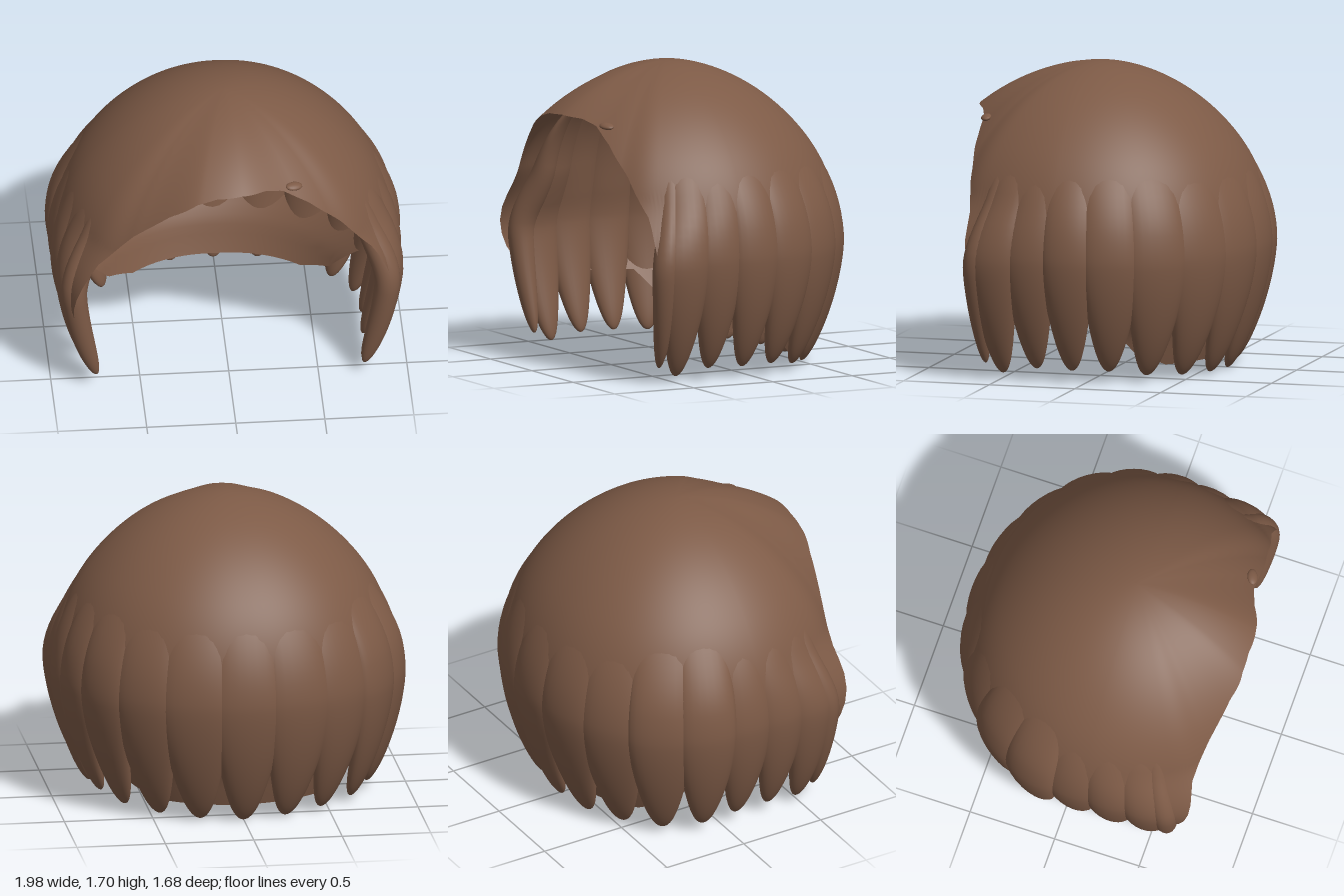
import * as THREE from 'three';
import { ParametricGeometry } from 'three/addons/geometries/ParametricGeometry.js';

const TOP = 1.71, WIDEST = 0.7, CROWN_Z = 0.15;
const rad = THREE.MathUtils.degToRad;
const smooth = THREE.MathUtils.smoothstep;

// Relative radius of the hair at a height: dome above, tucked in below
function girth(y) {
  if (y > WIDEST) {
    const k = Math.min(1, (y - WIDEST) / (TOP - WIDEST));
    return Math.pow(1 - Math.pow(k, 1.84), 1 / 1.84);
  }
  return 1 - 0.17 * Math.pow((WIDEST - y) / WIDEST, 1.6);
}

// Point on the outer form; azimuth 0 is the front, 90 degrees is +x
function form(a, y, inset = 0) {
  const s = Math.sin(a), c = Math.cos(a), front = c > 0;
  const upper = smooth(y, 0.6, 1.05);
  const n = front ? 2.8 - 0.95 * upper : 2.1;
  const r = Math.pow(Math.pow(Math.abs(s) / 0.985, n) + Math.pow(Math.abs(c) / (front ? 1.1 : 0.985), n), -1 / n);
  const f = girth(y);
  const fz = front && y < WIDEST ? 0.3 * f + 0.7 : f;
  // The fringe is swept back at the temples, sooner on the left
  const side = Math.abs(s);
  const back = 0.1 * smooth(side, s > 0 ? 0.05 : 0.25, s > 0 ? 0.5 : 0.6) - 0.07 * smooth(side, 0.65, 0.85);
  const sweep = front ? 1 - upper * back : 1;
  return new THREE.Vector3(s * (r * f - inset), y, CROWN_Z + c * (r * fz * sweep - inset));
}

// Height of the cap's rim by degrees from the front: face arch, sides, nape
const RIM = [[0, 1.45], [12, 1.44], [20, 1.41], [30, 1.32], [42, 1.16], [54, 0.94], [60, 0.6],
  [64, 0.42], [105, 0.4], [122, 0.16], [138, 0.08], [190, 0.07]];
function rim(deg) {
  const d = Math.abs(deg - 4 * Math.max(0, Math.cos(rad(deg))));
  const i = RIM.findIndex((p, k) => k > 0 && d <= p[0]);
  const [d0, y0] = RIM[i - 1], [d1, y1] = RIM[i];
  return y0 + (y1 - y0) * (d - d0) / (d1 - d0);
}

// Thin cap that slips behind the locks lower down
function capGeometry() {
  return new ParametricGeometry((u, v, out) => {
    const deg = 180 - 360 * u;
    const t = Math.max(v, 0.001);
    const y = TOP - (TOP - rim(deg)) * t * t;
    const inset = 0.035 * (1 - smooth(y, 0.5, 1.3)) + 0.125 * (1 - smooth(y, 0.22, 0.6));
    out.copy(form(rad(deg), y, inset));
  }, 240, 60);
}

// Flattened, tapering lock that rises gradually out of the cap
function lockGeometry(deg, halfDeg, tipY, lift) {
  const a = rad(deg), e = 0.002, topY = 1.5;
  return new ParametricGeometry((u, v, out) => {
    const s = THREE.MathUtils.clamp(1 - (1 - v) * (1 - v), 0.001, 0.9995);
    const y = topY + (tipY - topY) * s;
    const c = form(a, y);
    const across = form(a + e, y).sub(form(a - e, y)).normalize();
    const down = form(a, y - e).sub(form(a, y + e)).normalize();
    const outward = down.clone().cross(across).normalize();
    const taper = Math.sqrt(1 - Math.pow(s, 5));
    const grow = 1 - smooth(y, 0.85, 1.5);
    // Neighbours overlap higher up and part towards the tips
    const overlap = 1.12 + 0.2 * smooth(y, 0.1, 0.7);
    const width = rad(halfDeg) * overlap * Math.hypot(c.x, c.z - CROWN_Z) * taper * smooth(s, -0.1, 0.2);
    const thick = 0.075 * (0.15 + 0.85 * grow) * taper * smooth(s, -0.1, 0.1);
    const depth = 0.025 + 0.047 * grow - lift * grow * grow;
    out.copy(c).addScaledVector(outward, -depth)
      .addScaledVector(across, width * Math.cos(u * Math.PI * 2))
      .addScaledVector(outward, thick * Math.sin(u * Math.PI * 2));
  }, 24, 44);
}

export function createModel() {
  const group = new THREE.Group();
  const hair = new THREE.MeshStandardMaterial({ color: 0x7d5a46, side: THREE.DoubleSide });
  hair.name = 'brown hair';
  const add = (name, geometry) => {
    const mesh = new THREE.Mesh(geometry, hair);
    mesh.name = name;
    group.add(mesh);
    return mesh;
  };

  add('cap', capGeometry());

  // Locks: azimuth, half width, tip height, lift on the left, lift on the right
  const locks = [[63.5, 3.4, 0.07, 0.005, 0], [69.5, 6.3, 0.02, 0.012, 0], [81.5, 6.7, 0.05, 0, 0],
    [95, 7, 0.05, 0.01, 0], [110, 7.6, 0.05, 0.012, 0.035], [126, 8.2, 0.02, 0.01, 0.025],
    [143.5, 8.8, 0, 0, 0], [161.5, 9.2, -0.01, 0, 0]];
  for (const side of [1, -1]) {
    locks.forEach(([deg, half, tip, liftLeft, liftRight]) => {
      add(side > 0 ? 'leftLock' : 'rightLock',
        lockGeometry(side * deg, half, tip, side > 0 ? liftLeft : liftRight));
    });
  }
  add('backLock', lockGeometry(180, 9.3, -0.02, 0));

  // Small stray wisp at the fringe
  const wisp = add('fringeWisp', new THREE.SphereGeometry(1, 16, 10));
  wisp.scale.set(0.05, 0.016, 0.03);
  wisp.position.set(0.35, 1.415, 0.71);
  wisp.rotation.set(0.3, 0.3, -0.2);

  return group;
}
